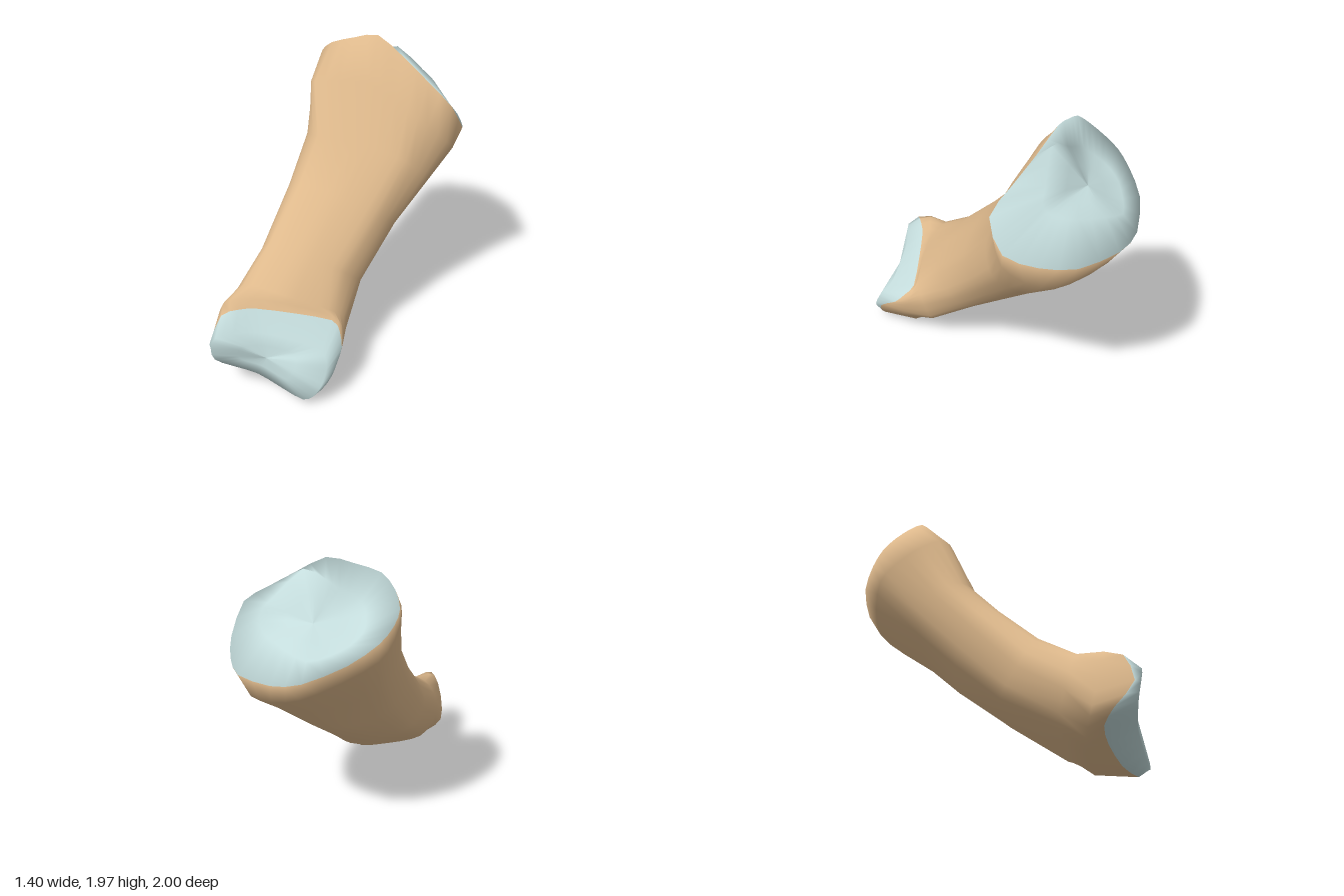
import * as THREE from 'three';

const SIDES = 32;

// Each section has eight corners (sixteen where the outline is finer): top, top right,
// right, under right, under, under left, left, top left, seen facing the front.
const toPoints = (n) => Array.from({ length: n.length / 3 }, (_, i) => new THREE.Vector3(n[3 * i], n[3 * i + 1], n[3 * i + 2]));

// Lower joint surface, from its inner ring out to its rim
const lowerInner = toPoints([-.38, .46, .89, -.02, .36, .83, .06, .28, .89, .03, .14, .96, -.08, .04, .97, -.38, .17, .94, -.65, .26, .97, -.62, .46, 1]);
const lowerRim = toPoints([
  -.42, .55, .77, -.2, .49, .69, .03, .42, .62, .09, .37, .66, .12, .3, .73, .11, .25, .81, .09, .19, .88, .03, .09, .91,
  -.07, 0, .9, -.22, .03, .82, -.43, .1, .77, -.6, .15, .77, -.69, .22, .84, -.68, .37, .96, -.61, .56, .9, -.52, .57, .83,
]);

// Shaft, from the lower head up to the neck
const shaft = [
  [-.4, .57, .7, .03, .44, .6, .11, .32, .64, .08, .17, .7, -.07, .03, .64, -.42, .1, .64, -.69, .24, .72, -.63, .58, .8],
  [-.27, .59, .65, 0, .48, .59, .1, .37, .52, .05, .17, .47, -.2, .13, .5, -.53, .21, .51, -.65, .42, .58, -.55, .62, .63],
  [-.2, .76, .43, .03, .66, .4, .14, .52, .28, .08, .42, .12, -.12, .44, .07, -.41, .48, .15, -.54, .63, .3, -.44, .8, .38],
  [-.05, 1.06, .14, .2, .95, .13, .31, .82, 0, .27, .73, -.2, .05, .72, -.27, -.28, .81, -.18, -.42, 1, -.03, -.31, 1.1, .09],
  [.1, 1.33, -.1, .36, 1.24, -.1, .5, 1.08, -.2, .46, .98, -.42, .2, .98, -.53, -.22, 1.12, -.48, -.35, 1.29, -.28, -.24, 1.35, -.13],
].map(toPoints);
const neck = toPoints([.08, 1.7, -.27, .42, 1.51, -.2, .64, 1.28, -.32, .55, 1.14, -.62, .22, 1.28, -.91, -.22, 1.46, -.76, -.34, 1.6, -.48, -.29, 1.68, -.27]);

// Upper joint surface: a saddle-shaped rim, steep behind its top edge
const upperRim = toPoints([
  .1, 1.97, -.45, .29, 1.85, -.385, .46, 1.73, -.31, .63, 1.6, -.24, .7, 1.41, -.35, .67, 1.36, -.56, .59, 1.36, -.77, .38, 1.39, -.95,
  .2, 1.43, -1, -.05, 1.52, -.94, -.22, 1.6, -.82, -.3, 1.67, -.72, -.33, 1.73, -.62, -.3, 1.81, -.53, -.22, 1.89, -.47, -.06, 1.94, -.46,
]);
const upperInner = toPoints([
  .1, 1.85, -.49, .23, 1.9, -.46, .4, 1.74, -.49, .47, 1.67, -.5, .49, 1.62, -.54, .47, 1.59, -.62, .42, 1.57, -.7, .3, 1.55, -.83,
  .18, 1.52, -.9, .05, 1.54, -.86, -.06, 1.58, -.8, -.12, 1.62, -.73, -.14, 1.66, -.66, -.13, 1.71, -.58, -.08, 1.76, -.53, .02, 1.8, -.51,
]);

// Shrinks a section towards a centre
const inset = (points, centre, scale) => points.map((p) => centre.clone().lerp(p, scale));

const roundOff = (points) => {
  const curve = new THREE.CatmullRomCurve3(points, true, 'catmullrom', 0.4);
  return Array.from({ length: SIDES }, (_, i) => curve.getPoint(i / SIDES));
};

// Skin over a row of rings, with smooth normals
function loft(rings) {
  const index = [];
  for (let r = 0; r < rings.length - 1; r++) {
    for (let s = 0; s < SIDES; s++) {
      const a = r * SIDES + s, b = r * SIDES + (s + 1) % SIDES;
      index.push(a, b, a + SIDES, b, b + SIDES, a + SIDES);
    }
  }
  const geometry = new THREE.BufferGeometry().setFromPoints(rings.flat());
  geometry.setIndex(index);
  geometry.computeVertexNormals();
  return geometry;
}

export function createModel() {
  const group = new THREE.Group();
  const bone = new THREE.MeshStandardMaterial({ color: 0xdeb98c });
  const cartilage = new THREE.MeshStandardMaterial({ color: 0xc4dcdc });

  const lowerCentre = new THREE.Vector3(-.32, .3, .93);
  const upperCentre = new THREE.Vector3(.16, 1.65, -.67);
  const sections = [
    inset(lowerInner, lowerCentre, 0),
    inset(lowerInner, lowerCentre, 0.5),
    lowerInner,
    lowerRim,
    ...shaft,
    neck,
    upperRim,
    upperInner,
    inset(upperInner, upperCentre, 0.5),
    inset(upperInner, upperCentre, 0),
  ];
  const skin = loft(sections.map(roundOff));

  // Cut the skin into parts between two sections, keeping shared normals
  const addPart = (name, from, to, material) => {
    const part = skin.clone();
    part.setIndex(Array.from(skin.index.array.slice(from * SIDES * 6, to * SIDES * 6)));
    const mesh = new THREE.Mesh(part.toNonIndexed(), material);
    mesh.name = name;
    group.add(mesh);
  };
  const top = sections.indexOf(upperRim);
  addPart('lowerJointCartilage', 0, 3, cartilage);
  addPart('boneShaft', 3, top, bone);
  addPart('upperJointCartilage', top, sections.length - 1, cartilage);
  return group;
}
